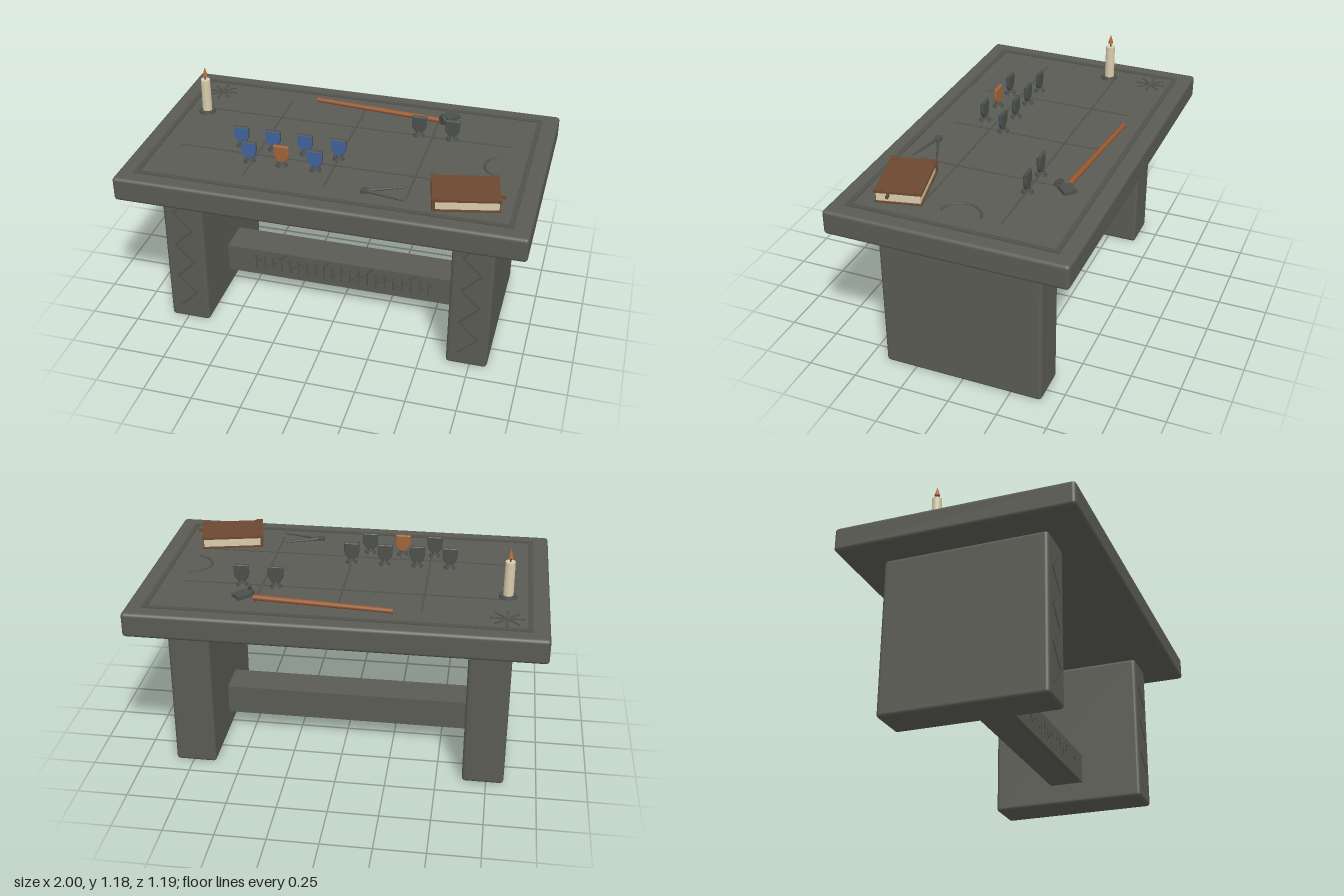
import * as THREE from 'three';
import { RoundedBoxGeometry } from 'three/addons/geometries/RoundedBoxGeometry.js';

const mat = (name, color) => Object.assign(new THREE.MeshStandardMaterial({ color }), { name });

export function createModel() {
  const stone = mat('stone', 0x5a5b53);
  const carving = mat('carved stone', 0x50514a);
  const iron = mat('iron', 0x4c504c);
  const blue = mat('blue enamel', 0x41629c);
  const copper = mat('copper', 0xa0643a);
  const wood = mat('wood', 0x96572f);
  const leather = mat('leather', 0x6c4830);
  const paper = mat('paper and wax', 0xd8ccac);
  const flameMat = mat('flame', 0xb0642c);

  const model = new THREE.Group();
  const TOP = 0.925;

  const add = (parent, name, geo, material, x = 0, y = 0, z = 0) => {
    const mesh = new THREE.Mesh(geo, material);
    mesh.name = name;
    mesh.position.set(x, y, z);
    parent.add(mesh);
    return mesh;
  };
  const group = (name, x = 0, y = 0, z = 0) => {
    const g = new THREE.Group();
    g.name = name;
    g.position.set(x, y, z);
    model.add(g);
    return g;
  };
  const box = (w, h, d) => new THREE.BoxGeometry(w, h, d);
  const cyl = (r1, r2, h, n = 20) => new THREE.CylinderGeometry(r1, r2, h, n);

  // Thin raised bar on a front face, from one xy point to another
  const frontStroke = (parent, name, a, b, z, w = 0.01) => {
    const dx = b[0] - a[0], dy = b[1] - a[1];
    const m = add(parent, name, box(Math.hypot(dx, dy) + w * 0.6, w, 0.006), carving,
      (a[0] + b[0]) / 2, (a[1] + b[1]) / 2, z);
    m.rotation.z = Math.atan2(dy, dx);
  };

  // Table body
  add(model, 'tableTop', new RoundedBoxGeometry(2, 0.125, 1.19, 3, 0.018), stone, 0, 0.8625, 0);
  add(model, 'stretcher', box(1.3, 0.155, 0.18), stone, 0, 0.188, 0);
  for (const side of [-1, 1]) {
    add(model, 'leg', new RoundedBoxGeometry(0.208, 0.8, 0.82, 3, 0.018), stone, side * 0.734, 0.4, 0);
    // Zigzag carving on the front of the leg
    const zigzag = group('legZigzag', side * 0.735);
    const points = Array.from({ length: 8 }, (_, i) => [i % 2 ? -0.048 : 0.048, 0.745 - i * 0.096]);
    for (let i = 0; i < 7; i++) frontStroke(zigzag, 'zigzagStroke', points[i], points[i + 1], 0.41);
  }

  // Abstract notches along the stretcher
  const notches = group('stretcherCarving');
  for (let i = 0; i < 21; i++) {
    const x = -0.47 + i * 0.047;
    frontStroke(notches, 'notch', [x, 0.15], [x, 0.23], 0.09, 0.009);
    const y = [0.225, 0.19, 0.2, 0.225, 0.17][i % 5];
    const rise = [-0.025, 0, 0.022, -0.02, 0.03][(i * 3) % 5];
    frontStroke(notches, 'notchBranch', [x - (i % 3 ? 0 : 0.018), y], [x + 0.028, y + rise], 0.09, 0.009);
  }

  // Border and panel lines on the table top
  const border = group('topBorder', 0, TOP);
  for (const s of [-1, 1]) {
    add(border, 'borderLong', box(1.84, 0.006, 0.025), carving, 0, 0.001, s * 0.507);
    add(border, 'borderShort', box(0.025, 0.006, 0.99), carving, s * 0.907, 0.001, 0);
    add(border, 'panelLineLong', box(1.6, 0.003, 0.01), carving, 0, 0, s * 0.2);
  }
  for (const x of [-0.4, 0, 0.4]) add(border, 'panelLineCross', box(0.01, 0.003, 0.8), carving, x, 0, 0);

  // Star and crescent carved in the top
  const star = group('starCarving', -0.8, TOP + 0.001, -0.4);
  for (let i = 0; i < 4; i++) {
    add(star, 'starRay', box(0.16, 0.006, 0.01), carving).rotation.y = i * Math.PI / 4;
  }
  const crescent = add(model, 'arcCarving', new THREE.TorusGeometry(0.098, 0.006, 6, 24, Math.PI), carving, 0.8, TOP, 0);
  crescent.rotation.set(-Math.PI / 2, 0, Math.PI / 2);

  // Candle
  const candle = group('candle', -0.8, TOP, -0.165);
  add(candle, 'candleDish', cyl(0.042, 0.045, 0.012, 24), iron, 0, 0.006, 0);
  add(candle, 'wax', cyl(0.024, 0.025, 0.175, 20), paper, 0, 0.0985, 0);
  add(candle, 'wick', cyl(0.004, 0.004, 0.03, 8), iron, 0, 0.2, 0);
  add(candle, 'flame', new THREE.ConeGeometry(0.014, 0.048, 12), flameMat, 0, 0.23, 0);

  // Small standing shields on round feet
  const shieldShape = (w) => {
    const s = new THREE.Shape();
    s.moveTo(-w, 0.104);
    s.lineTo(-w, 0.07);
    s.bezierCurveTo(-w, 0.045, -w * 0.6, 0.026, 0, 0.022);
    s.bezierCurveTo(w * 0.6, 0.026, w, 0.045, w, 0.07);
    s.lineTo(w, 0.104);
    return s;
  };
  const shieldGeo = new THREE.ExtrudeGeometry(shieldShape(0.034), {
    depth: 0.006, bevelThickness: 0.006, bevelSize: 0.005, bevelSegments: 2, curveSegments: 8,
  }).translate(0, 0, -0.003);
  const faceGeo = new THREE.ExtrudeGeometry(shieldShape(0.037), { depth: 0.003, bevelEnabled: false, curveSegments: 8 })
    .translate(0, 0, 0.0075);
  const token = (x, z, face) => {
    const g = group('shieldToken', x, TOP, z);
    add(g, 'tokenFoot', cyl(0.026, 0.03, 0.013), iron, 0, 0.0065, 0);
    add(g, 'tokenStem', cyl(0.01, 0.014, 0.014, 12), iron, 0, 0.018, 0);
    add(g, 'tokenShield', shieldGeo, face === copper ? copper : iron);
    if (face === blue) add(g, 'tokenFace', faceGeo, blue);
  };
  for (const x of [-0.5, -0.335, -0.17, 0]) token(x, 0.13, blue);
  token(-0.415, 0.265, blue);
  token(-0.25, 0.265, copper);
  token(-0.08, 0.265, blue);
  for (const x of [0.33, 0.5]) token(x, -0.205, iron);

  // Hammer lying on the table
  const hammer = group('hammer', 0.07, TOP, -0.392);
  hammer.rotation.y = -0.08;
  add(hammer, 'hammerHandle', cyl(0.014, 0.012, 0.68, 12), wood, 0, 0.014, 0).rotation.z = -Math.PI / 2;
  const head = group('hammerHead', 0.46, TOP + 0.033, -0.385);
  head.rotation.y = Math.PI / 4;
  add(head, 'headBlade', box(0.075, 0.018, 0.065), iron);
  add(head, 'headNeck', box(0.04, 0.014, 0.02), iron, -0.045, 0, 0);
  add(head, 'headDisc', cyl(0.025, 0.025, 0.01), iron, -0.062, 0, 0.012).rotation.z = Math.PI / 2;

  // Dividers with two tapered arms
  const dividers = group('dividers', 0.2, TOP, 0.395);
  add(dividers, 'pivot', cyl(0.02, 0.02, 0.016), iron, 0, 0.008, 0);
  for (const [x, z] of [[0.19, -0.083], [0.2, 0.04]]) {
    const arm = add(dividers, 'dividerArm', cyl(0.004, 0.009, Math.hypot(x, z), 8), iron, x / 2, 0.009, z / 2);
    arm.quaternion.setFromUnitVectors(new THREE.Vector3(0, 1, 0), new THREE.Vector3(x, 0, z).normalize());
  }

  // Closed book with corner plates and clasp
  const book = group('book', 0.666, TOP, 0.333);
  book.rotation.y = 0.222;
  add(book, 'backCover', box(0.318, 0.008, 0.223), leather, 0, 0.004, 0);
  add(book, 'pages', box(0.295, 0.045, 0.207), paper, 0.004, 0.03, 0);
  add(book, 'frontCover', box(0.318, 0.011, 0.223), leather, 0, 0.056, 0);
  add(book, 'spine', box(0.016, 0.06, 0.223), leather, -0.151, 0.031, 0);
  add(book, 'clasp', box(0.035, 0.014, 0.012), leather, 0.165, 0.044, 0.045);
  for (const x of [-1, 1]) for (const z of [-1, 1]) {
    add(book, 'cornerPlate', box(0.034, 0.006, 0.034), leather, x * 0.144, 0.063, z * 0.097);
  }

  return model;
}
